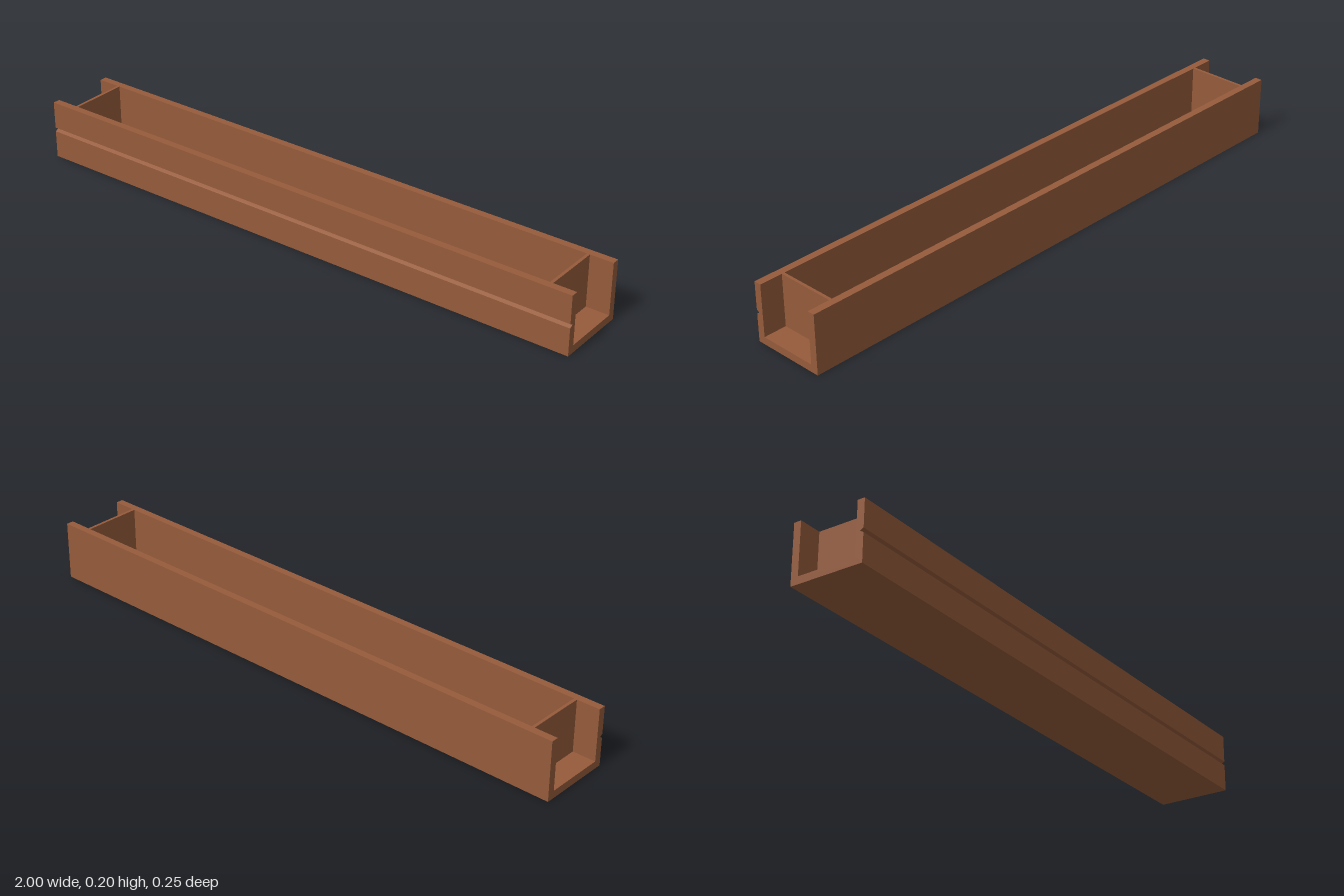
import * as THREE from 'three';

export function createModel() {
  const group = new THREE.Group();
  const wood = new THREE.MeshStandardMaterial({ color: 0x965b3b });
  wood.name = 'brown wood';

  const half = 0.125, inner = 0.1, height = 0.2, floor = 0.025;

  // U-shaped section with a V groove along the front, as [z, y] points
  const section = [
    [half, 0], [half, 0.093], [0.113, 0.1], [half, 0.107], [half, height],
    [inner, height], [inner, floor], [-inner, floor], [-inner, height],
    [-half, height], [-half, 0],
  ];
  const shape = new THREE.Shape(section.map(([z, y]) => new THREE.Vector2(-z, y)));
  const channelGeometry = new THREE.ExtrudeGeometry(shape, { depth: 2, bevelEnabled: false });
  channelGeometry.translate(0, 0, -1).rotateY(Math.PI / 2);
  const channel = new THREE.Mesh(channelGeometry, wood);
  channel.name = 'channel';
  group.add(channel);

  // Cross walls set in from each open end
  const wallGeometry = new THREE.BoxGeometry(0.01, height - floor, inner * 2);
  for (const side of [-1, 1]) {
    const wall = new THREE.Mesh(wallGeometry, wood);
    wall.name = side > 0 ? 'leftCrossWall' : 'rightCrossWall';
    wall.position.set(side * 0.917, (height + floor) / 2, 0);
    group.add(wall);
  }
  return group;
}
